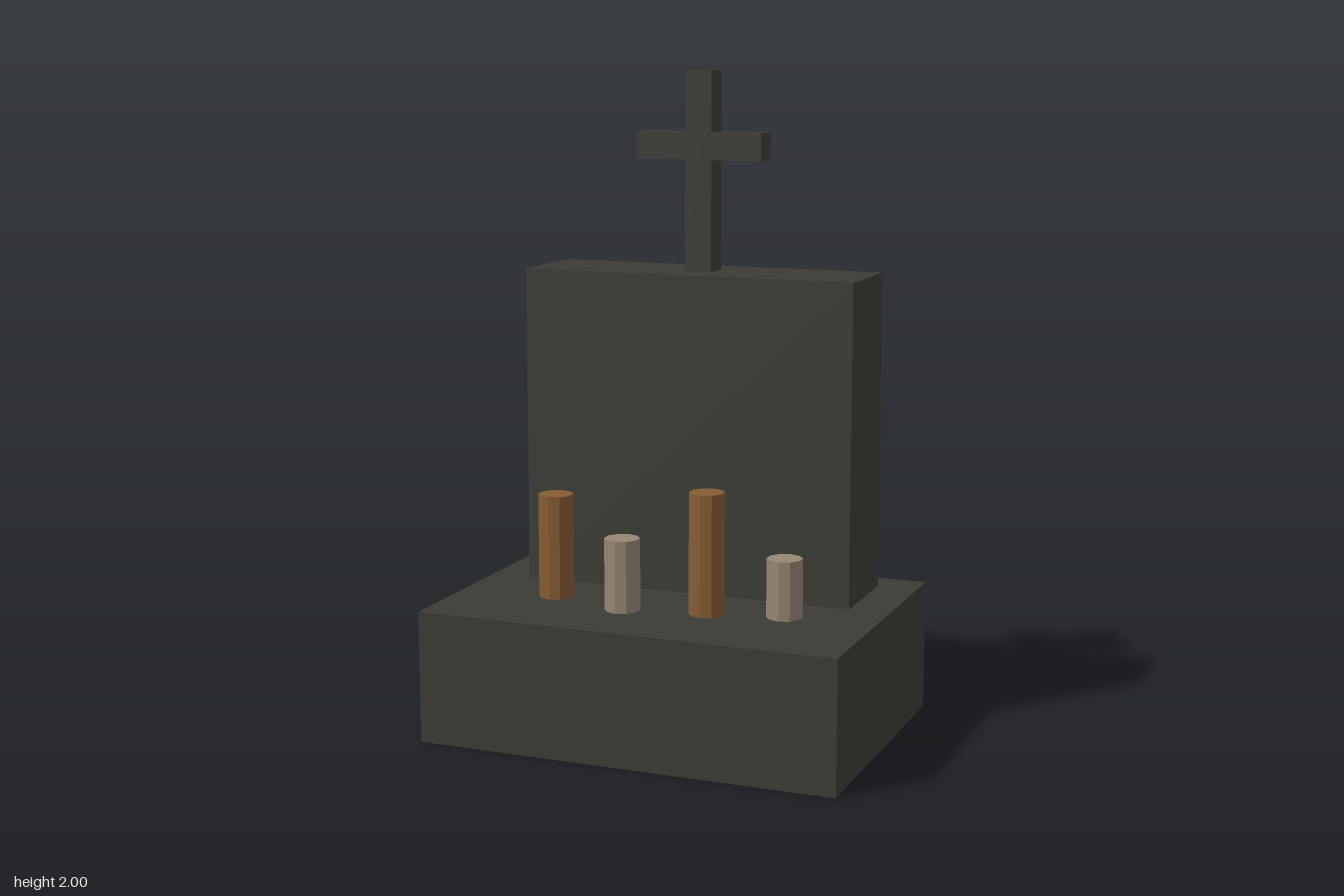
import * as THREE from 'three';

const flat = (name, color) => {
  const m = new THREE.MeshStandardMaterial({ color, flatShading: true });
  m.name = name;
  return m;
};

export function createModel() {
  const model = new THREE.Group();
  model.name = 'gravestone';

  const stone = flat('dark stone', 0x3c3c36);
  const amber = flat('amber wax', 0x865d34);
  const pale = flat('pale wax', 0x968674);

  const add = (name, geometry, material, x, y, z) => {
    const mesh = new THREE.Mesh(geometry, material);
    mesh.name = name;
    mesh.position.set(x, y, z);
    model.add(mesh);
  };

  // Box standing on height y
  const block = (name, w, h, d, y, z) =>
    add(name, new THREE.BoxGeometry(w, h, d), stone, 0, y + h / 2, z);

  // Plinth and upright slab
  const plinthTop = 0.405;
  block('plinth', 1.312, plinthTop, 0.906, 0, 0);
  block('headstone', 1.06, 0.985, 0.302, plinthTop, -0.201);

  // Cross on top of the slab
  block('crossPost', 0.086, 0.61, 0.086, 1.39, -0.201);
  block('crossArms', 0.404, 0.084, 0.086, 1.73, -0.201);

  // Candles on the plinth: x, z, top height, wax
  const candles = [
    [-0.353, 0.126, 0.725, amber],
    [-0.101, 0.201, 0.625, pale],
    [0.151, 0.151, 0.775, amber],
    [0.378, 0.101, 0.584, pale],
  ];
  candles.forEach(([x, z, top, wax], i) => {
    const h = top - plinthTop;
    add(`candle${i + 1}`, new THREE.CylinderGeometry(0.054, 0.054, h, 10), wax, x, plinthTop + h / 2, z);
  });

  return model;
}
